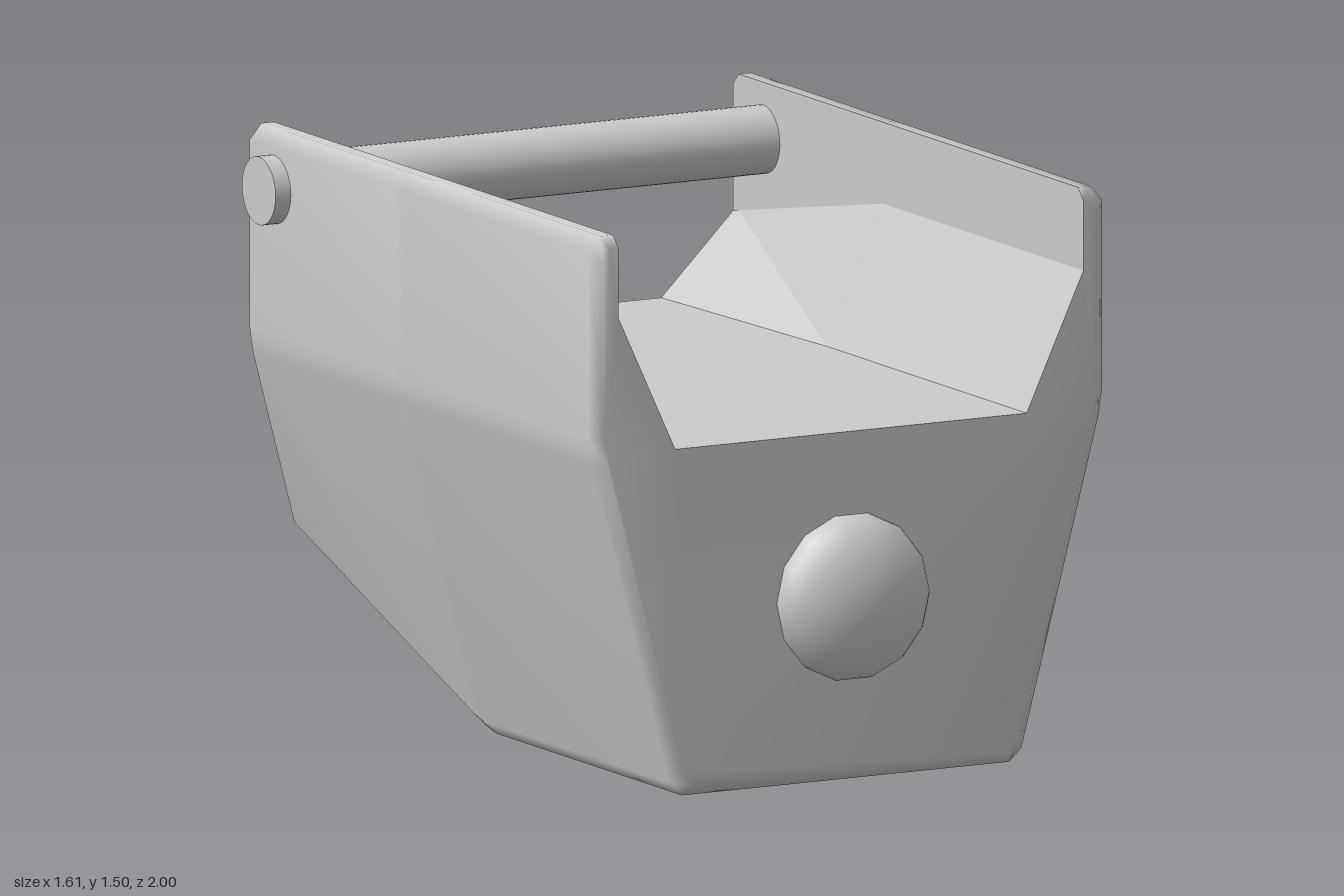
import * as THREE from 'three';

const material = new THREE.MeshStandardMaterial({ color: 0xcccccc, side: THREE.DoubleSide });

// Lengthwise stations: z, height of the underside, bevel inset, and cut-out change towards the rear
const STATIONS = [
  { z: 0.87, y: 0.03, inset: 0.03, t: 0 },
  { z: 0.84, y: 0, inset: 0, t: 0 },
  { z: -0.15, y: 0, inset: 0, t: 0 },
  { z: -0.2, y: 0.015, inset: 0, t: 0 },
  { z: -0.97, y: 0.4, inset: 0, t: 0.96 },
  { z: -1, y: 0.44, inset: 0.03, t: 1 },
];
const OUTER = 7; // points of a half section that belong to the outside skin

// Closed section, counter-clockwise seen from the front, starting at the bottom right
function section({ y, inset, t }) {
  const wall = (h) => 0.52 + (0.24 * (h - 0.03)) / 0.9 - inset;
  const half = [
    [wall(y + 0.03) - 0.035, y],
    [wall(y + 0.035), y + 0.035],
    [wall(0.89), 0.89],
    [0.76 - inset, 0.96],
    [0.76 - inset, 1.455 - inset],
    [0.725 - inset / 3, 1.495 - inset],
    [0.688, 1.495 - inset],
    [0.688, 1.28 - 0.15 * t], // cut-out wall
    [0.52 - 0.045 * t, 0.92], // cut-out floor
  ];
  return [...half, ...half.slice().reverse().map(([x, h]) => [-x, h])];
}

function createBody() {
  const rings = STATIONS.map(section);
  const n = rings[0].length;
  const positions = rings.flatMap((r, s) => r.flatMap(([x, y]) => [x, y, STATIONS[s].z]));
  const skin = [], channel = [];
  for (let s = 0; s < rings.length - 1; s++) {
    for (let i = 0; i < n; i++) {
      const j = (i + 1) % n;
      const a = s * n + i, b = s * n + j, c = b + n, d = a + n;
      const inner = i >= OUTER - 1 && i < n - OUTER;
      (inner ? channel : skin).push(a, d, b, b, d, c);
    }
  }
  // End faces share the skin's vertices so the bevels shade softly
  const last = (rings.length - 1) * n;
  const cap = (ring) => THREE.ShapeUtils.triangulateShape(ring.map(([x, y]) => new THREE.Vector2(x, y)), []);
  for (const [a, b, c] of cap(rings[0])) skin.push(a, b, c);
  for (const [a, b, c] of cap(rings[rings.length - 1])) skin.push(last + a, last + c, last + b);

  const build = (index, flat) => {
    let g = new THREE.BufferGeometry();
    g.setAttribute('position', new THREE.Float32BufferAttribute(positions, 3));
    g.setIndex(index);
    if (flat) g = g.toNonIndexed();
    g.computeVertexNormals();
    return g;
  };
  const body = new THREE.Group();
  body.name = 'body';
  add(body, 'outerShell', build(skin, false));
  add(body, 'innerChannel', build(channel, true));
  return body;
}

function add(parent, name, geometry, x = 0, y = 0, z = 0) {
  const mesh = new THREE.Mesh(geometry, material);
  mesh.name = name;
  mesh.position.set(x, y, z);
  parent.add(mesh);
  return mesh;
}

export function createModel() {
  const model = new THREE.Group();
  model.name = 'troughBlock';
  model.add(createBody());

  // Cross bar through both side walls
  add(model, 'crossBar', new THREE.CylinderGeometry(0.09, 0.09, 1.61, 32).rotateZ(Math.PI / 2), 0, 1.345, -0.84);

  // Domed button on the front with its thin seat
  const seat = new THREE.CircleGeometry(0.236, 14);
  add(model, 'buttonSeat', seat, 0, 0.485, 0.873);
  const dome = new THREE.SphereGeometry(0.222, 14, 10, 0, Math.PI * 2, 0, Math.PI / 2);
  dome.rotateX(Math.PI / 2).scale(1, 1, 0.13 / 0.222);
  add(model, 'button', dome, 0, 0.485, 0.87);

  return model;
}
